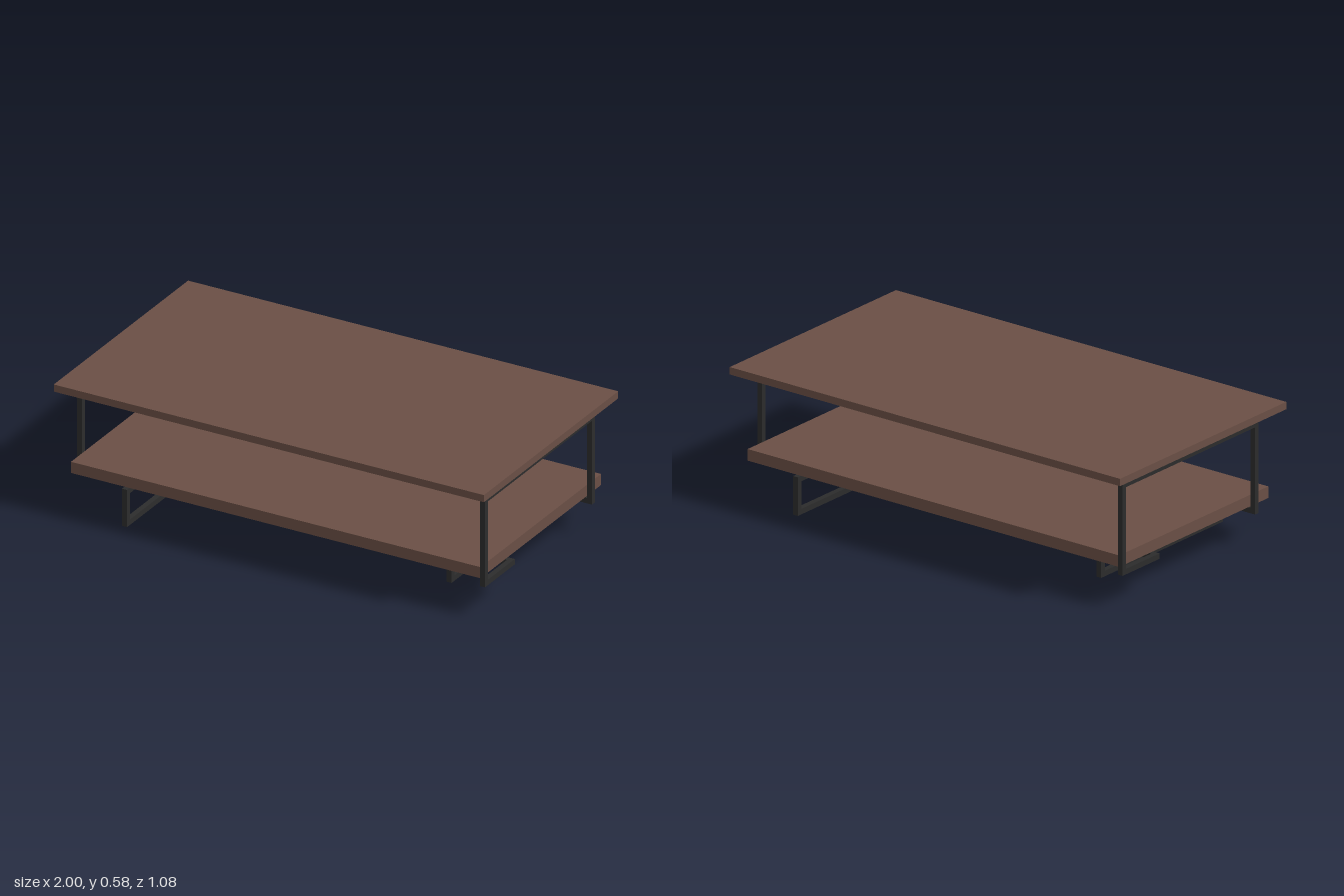
import * as THREE from 'three';

const wood = new THREE.MeshStandardMaterial({ color: 0x6a4f45 });
wood.name = 'brown wood';
const metal = new THREE.MeshStandardMaterial({ color: 0x2c2c2c });
metal.name = 'black metal';

const BAR = 0.024; // square bar thickness

function board(name, width, height, depth, y) {
  const mesh = new THREE.Mesh(new THREE.BoxGeometry(width, height, depth), wood);
  mesh.name = name;
  mesh.position.y = y;
  return mesh;
}

// One continuous square bar bent through a closed loop of corners.
function bentFrame(name, corners) {
  const frame = new THREE.Group();
  frame.name = name;
  corners.forEach((corner, i) => {
    const a = new THREE.Vector3(...corner);
    const b = new THREE.Vector3(...corners[(i + 1) % corners.length]);
    const run = b.clone().sub(a);
    const dir = run.clone().normalize();
    const size = ['x', 'y', 'z'].map((k) => (Math.abs(dir[k]) > 0.5 ? Math.abs(run[k]) : BAR));
    const bar = new THREE.Mesh(new THREE.BoxGeometry(...size), metal);
    bar.name = 'frameBar';
    // each bar owns the corner at its far end, so bars meet without overlapping
    bar.position.copy(a).add(b).multiplyScalar(0.5).addScaledVector(dir, BAR / 2);
    frame.add(bar);
  });
  return frame;
}

export function createModel() {
  const table = new THREE.Group();
  table.name = 'coffeeTable';

  table.add(board('tableTop', 2, 0.032, 1.083, 0.562));
  table.add(board('lowerShelf', 1.904, 0.05, 0.972, 0.193));

  // Upper hoop outside the shelf, then inward under it and down to the foot
  const outer = 0.972, inner = 0.692;
  const top = 0.532, mid = 0.155, floor = BAR / 2;
  const end = 0.493, post = -0.37, leg = 0.276;
  const corners = [
    [outer, top, post], [outer, top, end],
    [outer, mid, end], [outer, mid, leg],
    [inner, mid, leg], [inner, floor, leg],
    [inner, floor, -end], [inner, mid, -end],
    [inner, mid, post], [outer, mid, post],
  ];
  table.add(bentFrame('leftFrame', corners));

  // The other end is the same frame turned half way round
  const other = bentFrame('rightFrame', corners);
  other.rotation.y = Math.PI;
  table.add(other);

  return table;
}
